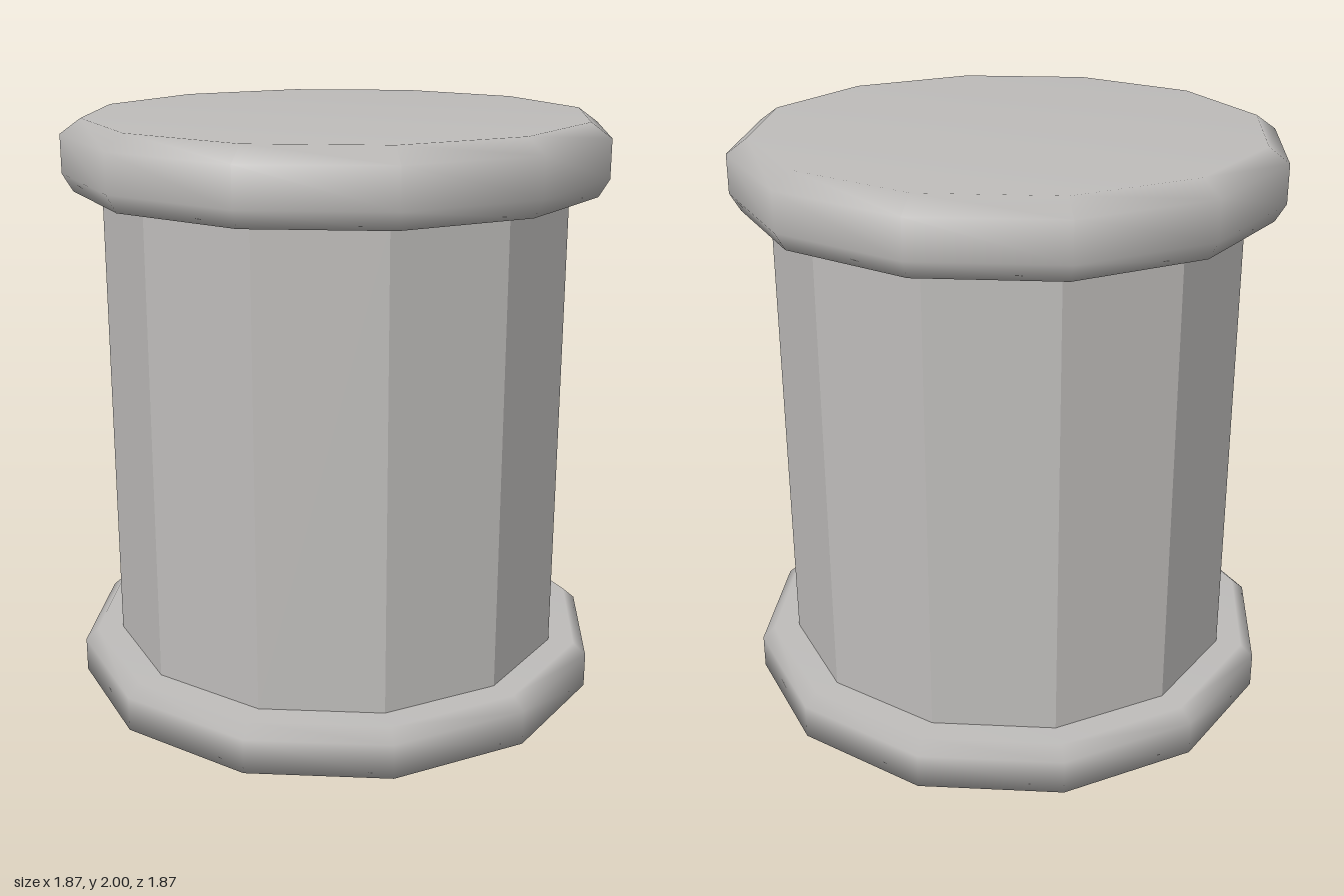
import * as THREE from 'three';

const SIDES = 12;

export function createModel() {
  const group = new THREE.Group();
  group.name = 'pillar';
  const stone = new THREE.MeshStandardMaterial({ color: 0xbebcba });
  stone.name = 'grey stone';

  // Smooth twelve-sided disc turned from a profile of [radius, height] pairs
  const addDisc = (name, profile) => {
    const points = profile.map(([r, y]) => new THREE.Vector2(r, y));
    const mesh = new THREE.Mesh(new THREE.LatheGeometry(points, SIDES), stone);
    mesh.name = name;
    group.add(mesh);
  };

  // Base plate, bevelled at its upper rim
  addDisc('base', [[0, 0], [0.935, 0], [0.935, 0.12], [0.89, 0.16], [0, 0.16]]);

  // Lid, bevelled at both rims
  addDisc('lid', [[0, 1.76], [0.895, 1.76], [0.93, 1.82], [0.93, 1.95], [0.86, 2], [0, 2]]);

  // Faceted shaft between the plates
  const shaftGeometry = new THREE.CylinderGeometry(0.8, 0.8, 1.6, SIDES, 1, true).toNonIndexed();
  shaftGeometry.computeVertexNormals();
  const shaft = new THREE.Mesh(shaftGeometry, stone);
  shaft.name = 'shaft';
  shaft.position.y = 0.96;
  group.add(shaft);

  return group;
}
